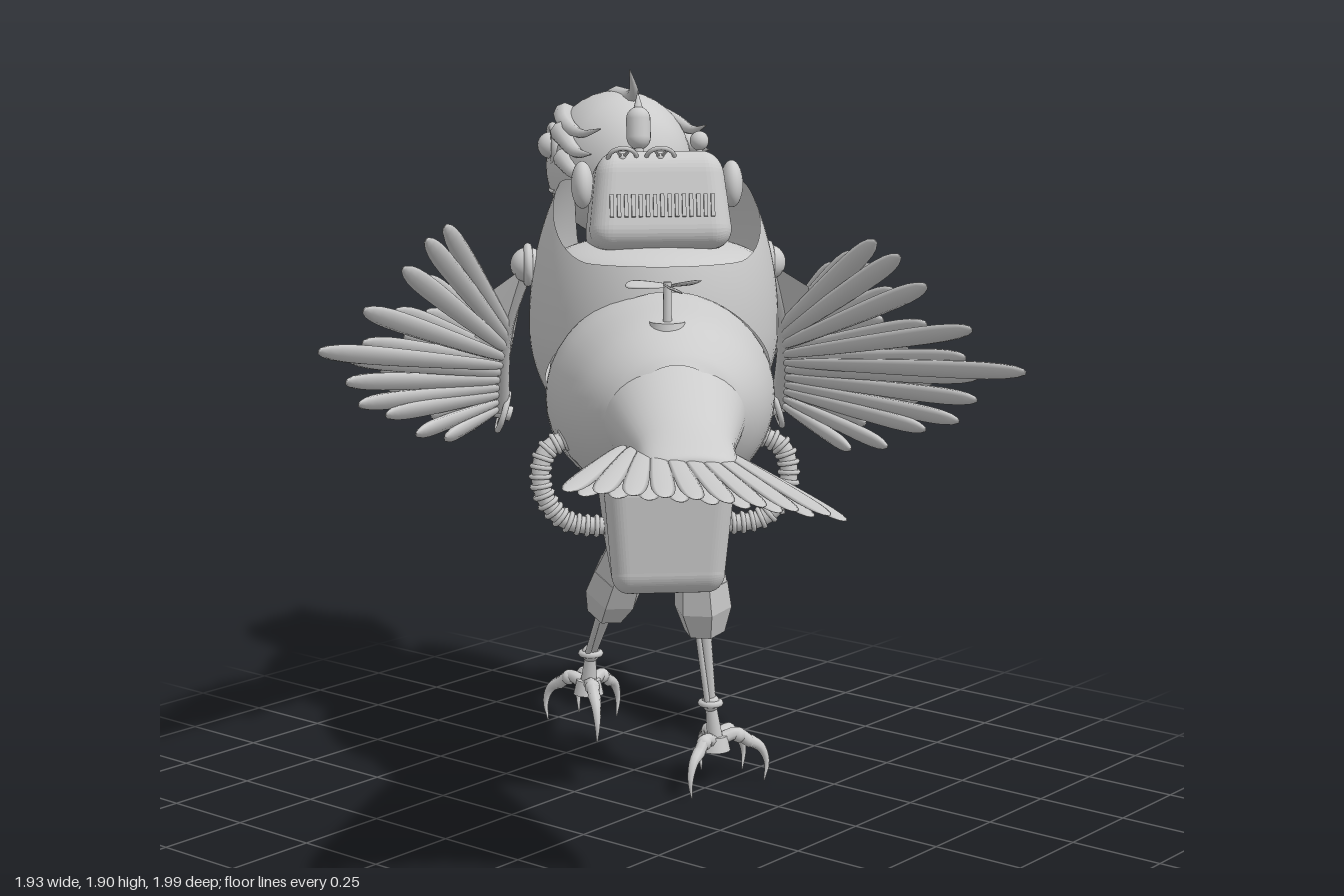
import * as THREE from 'three';
import { RoundedBoxGeometry } from 'three/addons/geometries/RoundedBoxGeometry.js';

const mat = new THREE.MeshStandardMaterial({ color: 0xcccccc, side: THREE.DoubleSide });
const V = (x, y, z) => new THREE.Vector3(x, y, z);
const { PI, sin, cos, abs, sqrt, exp } = Math;

function add(parent, name, geo, p = [0, 0, 0], r = [0, 0, 0]) {
  const m = new THREE.Mesh(geo, mat);
  m.name = name;
  m.position.set(...p);
  m.rotation.set(...r);
  parent.add(m);
  return m;
}
function sub(parent, name, p = [0, 0, 0], r = [0, 0, 0]) {
  const g = new THREE.Group();
  g.name = name;
  g.position.set(...p);
  g.rotation.set(...r);
  parent.add(g);
  return g;
}
// surface closed around u, fn(u, v) gives a point
function wrap(nu, nv, fn) {
  const pos = [], idx = [];
  for (let j = 0; j <= nv; j++) for (let i = 0; i < nu; i++) pos.push(...fn(i / nu, j / nv));
  for (let j = 0; j < nv; j++) for (let i = 0; i < nu; i++) {
    const a = j * nu + i, b = j * nu + (i + 1) % nu;
    idx.push(a, b, a + nu, b, b + nu, a + nu);
  }
  const g = new THREE.BufferGeometry();
  g.setAttribute('position', new THREE.Float32BufferAttribute(pos, 3));
  g.setIndex(idx);
  g.computeVertexNormals();
  return g;
}
// elliptical sections [z, y, rx, ry] joined along z
function loft(sec, nv = 24, ridge = 0) {
  const c = new THREE.CatmullRomCurve3(sec.map(s => V(s[2], s[3], s[0])));
  const d = new THREE.CatmullRomCurve3(sec.map(s => V(0, s[1], s[0])));
  return wrap(40, nv, (u, v) => {
    const p = c.getPoint(v), q = d.getPoint(v), k = 1 - ridge * (1 + cos(v * PI * 26)) / 2, a = u * 2 * PI;
    return [p.x * k * cos(a), q.y + p.y * k * sin(a), p.z];
  });
}
// tube along points, thinning from r0 to r1
function taper(pts, r0, r1, n = 10, m = 8) {
  const c = new THREE.CatmullRomCurve3(pts.map(p => V(...p)));
  const g = new THREE.TubeGeometry(c, n, 1, m), P = g.attributes.position, q = V();
  for (let i = 0; i < P.count; i++) {
    const t = Math.floor(i / (m + 1)) / n, o = c.getPointAt(t);
    q.fromBufferAttribute(P, i).sub(o).multiplyScalar(r0 + (r1 - r0) * t).add(o);
    P.setXYZ(i, q.x, q.y, q.z);
  }
  return g;
}
function rod(parent, name, a, b, r0, r1, n = 12) {
  const A = V(...a), B = V(...b), d = B.clone().sub(A);
  let geo = new THREE.CylinderGeometry(r1, r0, d.length(), n);
  if (n < 8) {
    geo = geo.toNonIndexed();
    geo.computeVertexNormals();
  }
  const m = add(parent, name, geo, A.clone().add(B).multiplyScalar(0.5).toArray());
  m.quaternion.setFromUnitVectors(V(0, 1, 0), d.normalize());
}
// rounded plume from root to tip, broadest beyond the middle
function feather(parent, name, a, b, nrm, w, th) {
  const A = V(...a), d = V(...b).sub(A), L = d.length();
  const g = wrap(8, 16, (u, v) => {
    const s = (1 - cos(v * PI)) / 2, r = Math.max(0, 1 - abs(2 * s - 1) ** 7) ** 0.5 * (0.5 + 0.75 * s - 0.35 * s ** 4), t = u * 2 * PI;
    return [cos(t) * w * r, s * L, sin(t) * th * r];
  });
  const y = d.normalize(), x = y.clone().cross(nrm).normalize(), z = x.clone().cross(y);
  const m = add(parent, name, g, a);
  m.quaternion.setFromRotationMatrix(new THREE.Matrix4().makeBasis(x, y, z));
}
function spokedWheel(parent, name, p, r, R) {
  const g = sub(parent, name, p, r);
  add(g, 'rim', new THREE.TorusGeometry(R, R * 0.16, 8, 28));
  add(g, 'hub', new THREE.SphereGeometry(R * 0.3, 12, 8));
  for (let i = 0; i < 3; i++) add(g, 'spoke', new THREE.BoxGeometry(R * 2, R * 0.16, R * 0.16), [0, 0, 0], [0, 0, i * PI / 3]);
}

function makeBody(bird) {
  const g = sub(bird, 'body');
  add(g, 'rearShell', loft([[-0.23, 1.11, 0.12, 0.12], [-0.2, 1.11, 0.17, 0.15], [-0.1, 1.1, 0.24, 0.22], [0.06, 1.09, 0.285, 0.26], [0.2, 1.085, 0.3, 0.275], [0.34, 1.05, 0.295, 0.265]]));
  add(g, 'ribbedBelly', loft([[0, 1.1, 0.17, 0.17], [0.14, 1.07, 0.22, 0.22], [0.32, 1.07, 0.26, 0.255], [0.5, 1.09, 0.275, 0.24], [0.66, 1.13, 0.2, 0.18], [0.76, 1.15, 0.02, 0.02]], 110, 0.035));
  add(g, 'tailCone', loft([[-0.02, 1.11, 0.215, 0.175], [-0.2, 1.09, 0.175, 0.145], [-0.4, 1.055, 0.125, 0.08], [-0.56, 1.04, 0.1, 0.035], [-0.58, 1.04, 0.01, 0.01]]));
  // breast shell with a notch for the neck and a raked lower edge
  add(g, 'breastShell', wrap(80, 30, (u, v) => {
    let a = u * 2 * PI;
    if (a > PI) a -= 2 * PI;
    const k = THREE.MathUtils.smoothstep(abs(a), 1.3, 2.5);
    const hi = 1.61 - 0.41 * exp(-((a / 0.66) ** 4)) - 0.18 * k;
    const lo = 0.866 + 0.5 * ((1 - cos(a)) / 2) ** 1.8;
    const y = lo + (hi - lo) * v;
    const f = y < 1.22 ? sqrt(Math.max(0, 1 - ((1.22 - y) / 0.355) ** 2)) : 1 - 0.25 * ((y - 1.22) / 0.39) ** 2.2;
    return [0.34 * f * sin(a) - 0.012, y, 0.515 + 0.41 * f * cos(a)];
  }));
  add(g, 'backDeck', new THREE.SphereGeometry(1, 32, 12, 0, 2 * PI, 0, PI / 2), [-0.01, 1.4, 0.42]).scale.set(0.29, 0.08, 0.27);
  add(g, 'neck', loft([[0.56, 1.15, 0.16, 0.13], [0.66, 1.3, 0.14, 0.12], [0.76, 1.46, 0.12, 0.11], [0.86, 1.58, 0.1, 0.09]], 20));
  const gr = sub(g, 'throatGrille', [0, 1.25, 0.77], [-0.2, 0, 0]);
  add(gr, 'frame', new RoundedBoxGeometry(0.26, 0.11, 0.06, 2, 0.015));
  for (let i = -4; i <= 4; i++) add(gr, 'bar', new THREE.CylinderGeometry(0.008, 0.008, 0.1, 8), [i * 0.027, 0, 0.033]);
  // hip housing, deepest near its middle and rising toward the front
  const hip = new RoundedBoxGeometry(0.33, 0.35, 0.38, 6, 0.05), P = hip.attributes.position;
  for (let i = 0; i < P.count; i++) {
    const low = P.getY(i) < 0, k = low ? 0.88 : 1, z = P.getZ(i);
    P.setXYZ(i, P.getX(i) * k, P.getY(i) + (low ? Math.max(0, z) * 0.6 + Math.max(0, -z) * 0.25 : 0), z * k);
  }
  hip.computeVertexNormals();
  add(g, 'hipHousing', hip, [0.01, 0.765, 0]);
  for (const s of [-1, 1]) {
    const pts = [[0.24, 1, 0.08], [0.31, 0.96, 0.07], [0.32, 0.86, 0.06], [0.26, 0.78, 0.06], [0.13, 0.76, 0.06]].map(p => V(p[0] * s, p[1], p[2]));
    const c = new THREE.CatmullRomCurve3(pts);
    add(g, 'hose', new THREE.TubeGeometry(c, 24, 0.024, 10));
    for (let i = 0; i < 18; i++) {
      const q = c.getPointAt(i / 17);
      add(g, 'hoseRing', new THREE.TorusGeometry(0.024, 0.007, 6, 14), q.toArray()).quaternion.setFromUnitVectors(V(0, 0, 1), c.getTangentAt(i / 17));
    }
    add(g, 'hoseSocket', new THREE.SphereGeometry(0.04, 14, 10), pts[0].toArray());
  }
  // small propeller on the rump
  const pr = sub(g, 'propeller', [0.01, 1.29, -0.09]);
  add(pr, 'base', new THREE.CylinderGeometry(0.045, 0.055, 0.06, 20));
  add(pr, 'stem', new THREE.CylinderGeometry(0.01, 0.012, 0.12, 10), [0, 0.07, 0]);
  for (let i = 0; i < 3; i++) {
    const a = i * 2 * PI / 3 + 0.4;
    feather(pr, 'blade', [0, 0.12, 0], [0.11 * cos(a), 0.12, 0.11 * sin(a)], V(0.4 * sin(a), 1, -0.4 * cos(a)), 0.024, 0.004);
  }
}

function makePack(bird) {
  const g = sub(bird, 'backMachine', [-0.01, 1.57, 0.38], [0.2, 0, 0]);
  // case narrowing toward its top
  const box = new RoundedBoxGeometry(0.39, 0.26, 0.28, 5, 0.06), P = box.attributes.position;
  for (let i = 0; i < P.count; i++) {
    const k = 0.92 - P.getY(i) * 0.6;
    P.setXYZ(i, P.getX(i) * k, P.getY(i), P.getZ(i) * k);
  }
  box.computeVertexNormals();
  add(g, 'case', box);
  for (let i = 0; i < 15; i++) add(g, 'grilleBar', new THREE.BoxGeometry(0.01, 0.06, 0.016), [(i - 7) * 0.019, -0.02, -0.132], [0.09, 0, 0]);
  for (const x of [0.1, 0]) spokedWheel(g, 'valveWheel', [x, 0.11, -0.1], [PI / 2 + 0.6, 0, 0], 0.037);
  for (const s of [-1, 1]) add(g, 'sideDome', new THREE.SphereGeometry(0.055, 20, 14), [s * 0.2, 0.05, 0]).scale.set(0.55, 1.15, 0.9);
  const l = sub(g, 'lantern', [0.04, 0.21, 0.08]);
  add(l, 'glass', new THREE.CapsuleGeometry(0.033, 0.05, 6, 16));
  add(l, 'stem', new THREE.CylinderGeometry(0.01, 0.02, 0.1, 10), [0, -0.08, 0]);
  add(l, 'spike', new THREE.ConeGeometry(0.014, 0.05, 10), [0, 0.075, 0]);
  add(g, 'knobStem', new THREE.CylinderGeometry(0.008, 0.008, 0.07, 8), [-0.12, 0.13, 0.04]);
  add(g, 'knob', new THREE.SphereGeometry(0.026, 14, 10), [-0.12, 0.17, 0.04]);
}

function makeHead(bird) {
  const g = sub(bird, 'head', [0.05, 1.63, 0.88], [0, 0.34, 0]);
  const droop = z => (z > 0 ? -0.5 * z * z : 0);
  const cap = [[-0.23, 0.004], [-0.215, 0.075], [-0.17, 0.142], [-0.08, 0.195], [0, 0.208], [0.08, 0.2], [0.16, 0.166], [0.215, 0.12], [0.245, 0.08]];
  add(g, 'skull', loft(cap.map(([z, r]) => [z, droop(z), r * 0.95, r]), 32));
  const bill = [[0.2, 0.115], [0.24, 0.092], [0.31, 0.055], [0.41, 0.003]];
  add(g, 'upperBeak', loft(bill.map(([z, r]) => [z, droop(z) + 0.01, r * 0.9, r * 0.85]), 14));
  add(g, 'lowerBeak', loft(bill.map(([z, r]) => [z * 0.94, droop(z) - 0.025, r * 0.75, r * 0.7]), 14));
  for (const s of [-1, 1]) {
    const e = sub(g, 'eye', [s * 0.178, 0.055, 0.065], [0, s * (PI / 2 - 0.25), 0]);
    add(e, 'ring', new THREE.TorusGeometry(0.053, 0.013, 10, 28));
    add(e, 'collar', new THREE.CylinderGeometry(0.053, 0.06, 0.05, 24), [0, 0, -0.026], [PI / 2, 0, 0]);
    add(e, 'lens', new THREE.SphereGeometry(0.038, 18, 12), [0, 0, 0.006]);
    add(g, 'mouthSeam', taper([[s * 0.186, -0.075, 0.03], [s * 0.168, -0.075, 0.11], [s * 0.115, -0.07, 0.2], [s * 0.045, -0.07, 0.33]], 0.007, 0.003, 14));
    // swept plumes over the brow and cheek
    const plumes = [[[0.13, 0.14, 0.09], [0.165, 0.12, 0], [0.17, 0.1, -0.12], [0.16, 0.12, -0.23]], [[0.18, 0.1, 0], [0.18, 0.05, -0.1], [0.18, 0.05, -0.21]], [[0.185, 0.03, -0.03], [0.18, -0.01, -0.1], [0.18, -0.005, -0.19]]];
    for (const p of plumes) add(g, 'headPlume', taper(p.map(q => [q[0] * s, q[1], q[2]]), 0.033, 0.002, 12));
  }
  add(g, 'crest', taper([[0, 0.185, 0.02], [0, 0.195, -0.08], [0.02, 0.22, -0.14], [0.05, 0.275, -0.18]], 0.035, 0.002, 12));
}

function makeWing(bird, s) {
  const g = sub(bird, s > 0 ? 'leftWing' : 'rightWing'), lift = s > 0 ? 0.09 : 0;
  const P = (o, y, z) => [o * s, y, z], W = [0.4, 0.95, 0.78], S = [0.33, 1.39, 0.53];
  const nrm = V(0.75 * s, 0.55, 0.35).normalize();
  add(g, 'shoulderBall', new THREE.SphereGeometry(0.048, 20, 14), P(...S));
  add(g, 'shoulderRing', new THREE.TorusGeometry(0.048, 0.012, 8, 24), P(...S), [0, PI / 2, 0]);
  rod(g, 'shoulderPin', P(0.24, 1.36, 0.51), P(...S), 0.03, 0.03);
  // web between shoulder and wrist, with a thickened leading edge
  add(g, 'armEdge', taper([P(...S), P(0.39, 1.2, 0.62), P(...W)], 0.02, 0.025));
  const web = new THREE.BufferGeometry().setFromPoints([S, W, [0.53, 1.06, 0.53], [0.43, 1.33, 0.46]].map(p => V(...P(...p))));
  web.setIndex([0, 1, 2, 0, 2, 3]);
  web.computeVertexNormals();
  add(g, 'wingWeb', web);
  const wg = sub(g, 'wristWheel', P(0.43, 0.95, 0.79), [0, s * PI / 2, 0]);
  wg.rotateX(-0.3);
  spokedWheel(wg, 'outerWheel', [0, 0, 0.03], [0, 0, 0], 0.066);
  spokedWheel(wg, 'innerWheel', [0, 0, -0.04], [0, 0, 0], 0.055);
  add(wg, 'axle', new THREE.CylinderGeometry(0.022, 0.022, 0.13, 12), [0, 0, 0], [PI / 2, 0, 0]);
  // flight feathers and two shorter covering rows; tips as outward, up, forward
  const tips = [[0.56, 1.49, 0.15], [0.61, 1.46, 0.07], [0.67, 1.39, 0.01], [0.77, 1.29, -0.09], [0.88, 1.2, -0.23], [0.81, 1.15, 0.01], [0.82, 1.08, 0.06], [0.79, 1.01, 0.14], [0.72, 0.97, 0.24], [0.64, 0.9, 0.37], [0.56, 0.87, 0.5]];
  tips.forEach((t, i) => {
    const k = 0.5 * (1 - i / 10);
    const root = W.map((w, j) => w + (S[j] - w) * k);
    const tip = [t[0], t[1] + lift * t[0], t[2]];
    [[1, 0, 0.03], [0.76, 0.02, 0.03], [0.52, 0.038, 0.028]].forEach(([f, out, w], row) => {
      const e = root.map((r, j) => r + (tip[j] - r) * f + (j === 1 ? row * 0.02 : 0));
      const a = P(...root), b = P(...e);
      nrm.toArray().forEach((n, j) => { a[j] += n * out; b[j] += n * out; });
      feather(g, ['flightFeather', 'middleFeather', 'coverFeather'][row], a, b, nrm, w, 0.018);
    });
  });
}

function makeLeg(bird, name, hip, knee, ankle, foot, yaw) {
  const g = sub(bird, name);
  const mid = hip.map((h, j) => h + (knee[j] - h) * 0.5);
  const low = hip.map((h, j) => h + (knee[j] - h) * 0.75);
  add(g, 'hipBracket', new RoundedBoxGeometry(0.11, 0.16, 0.12, 2, 0.02), [hip[0], hip[1] + 0.02, hip[2] + 0.03]);
  rod(g, 'thigh', hip, mid, 0.05, 0.07, 6);
  rod(g, 'thighCase', mid, low, 0.072, 0.078, 6);
  rod(g, 'thighCuff', low, knee, 0.078, 0.055, 6);
  rod(g, 'shin', knee, ankle, 0.018, 0.015);
  rod(g, 'piston', [knee[0] + 0.02, knee[1], knee[2] - 0.02], [ankle[0] + 0.01, ankle[1], ankle[2] - 0.015], 0.008, 0.008);
  add(g, 'ankleJoint', new THREE.SphereGeometry(0.025, 14, 10), ankle);
  add(g, 'ankleRing', new THREE.TorusGeometry(0.026, 0.009, 8, 20), ankle, [PI / 2, 0, 0]);
  rod(g, 'instep', ankle, foot, 0.015, 0.022);
  const f = sub(g, 'foot', foot, [0, yaw, 0]);
  add(f, 'footHub', new THREE.CylinderGeometry(0.033, 0.042, 0.04, 16), [0, -0.01, 0]);
  for (const [a, L] of [[-0.75, 0.15], [0, 0.17], [0.75, 0.15], [PI, 0.14]]) {
    const t = sub(f, 'toe', [0, 0, 0], [0, a, 0]);
    add(t, 'toeBone', taper([[0, 0, 0.02], [0, 0.01, L * 0.4], [0, -0.02, L * 0.7]], 0.019, 0.016));
    add(t, 'toeKnuckle', new THREE.SphereGeometry(0.021, 10, 8), [0, 0.005, L * 0.45]);
    add(t, 'claw', taper([[0, -0.012, L * 0.64], [0, -0.035, L * 0.88], [0, -0.08, L], [0, -0.13, L * 0.95]], 0.018, 0.002));
  }
}

export function createModel() {
  const model = new THREE.Group();
  model.name = 'mechanicalBird';
  const bird = sub(model, 'bird', [0.04, 0, 0.04], [0, 3 * PI / 4, 0]);
  makeBody(bird);
  makePack(bird);
  makeHead(bird);
  for (const s of [-1, 1]) makeWing(bird, s);
  makeLeg(bird, 'rightLeg', [-0.09, 0.74, 0.1], [-0.115, 0.45, 0.155], [-0.136, 0.24, 0.19], [-0.15, 0.135, 0.2], -0.6);
  makeLeg(bird, 'leftLeg', [0.08, 0.74, 0.09], [0.14, 0.49, 0.24], [0.175, 0.34, 0.36], [0.18, 0.25, 0.38], 0.1);
  // tail fan of overlapping plumes, tilted slightly to one side
  const tail = sub(bird, 'tailFan');
  for (let i = 0; i < 18; i++) {
    const t = (i - 8.5) / 8.5, y = 0.008 * (i % 2);
    feather(tail, 'tailFeather', [0.025 + t * 0.115, 1.045 + y, -0.34], [0.02 + t * 0.305, 1.05 + t * 0.035 + y, -1.02 - 0.05 * abs(t)], V(-0.1, 1, 0), 0.03, 0.006);
  }
  return model;
}
